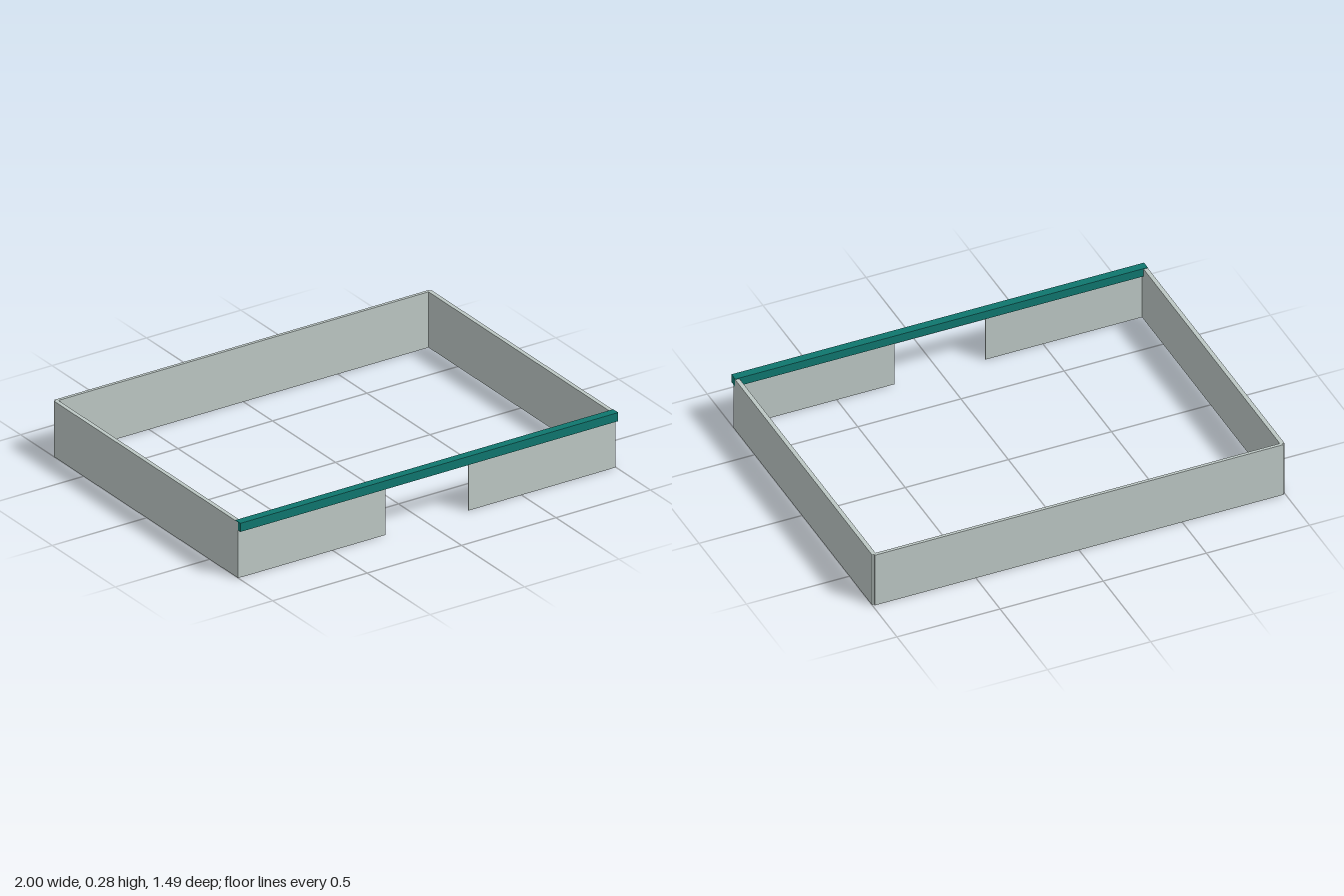
import * as THREE from 'three';

export function createModel() {
  const model = new THREE.Group();
  model.name = 'walledEnclosure';

  const wallGrey = new THREE.MeshStandardMaterial({ color: 0xbcc7c4 });
  wallGrey.name = 'wallGrey';
  const beamTeal = new THREE.MeshStandardMaterial({ color: 0x0f766e });
  beamTeal.name = 'beamTeal';

  // Box given by its lower and upper corners
  function box(name, material, [x0, y0, z0], [x1, y1, z1]) {
    const geometry = new THREE.BoxGeometry(x1 - x0, y1 - y0, z1 - z0);
    const mesh = new THREE.Mesh(geometry, material);
    mesh.position.set((x0 + x1) / 2, (y0 + y1) / 2, (z0 + z1) / 2);
    mesh.name = name;
    model.add(mesh);
    return mesh;
  }

  const height = 0.273;

  // Back wall, lapping half way over the ends of the side walls
  box('backWall', wallGrey, [-0.99, 0, -0.745], [0.99, height, -0.73]);

  // Side walls and the thin front panels either side of the opening
  for (const [side, s] of [['left', 1], ['right', -1]]) {
    const wall = box(side + 'Wall', wallGrey, [0.98, 0, -0.737], [1, height, 0.725]);
    const panel = box(side + 'FrontPanel', wallGrey, [0.22, 0, 0.722], [0.982, 0.25, 0.727]);
    wall.position.x *= s;
    panel.position.x *= s;
  }

  // Square beam spanning the front
  box('frontBeam', beamTeal, [-1, 0.234, 0.705], [1, 0.276, 0.745]);

  return model;
}
